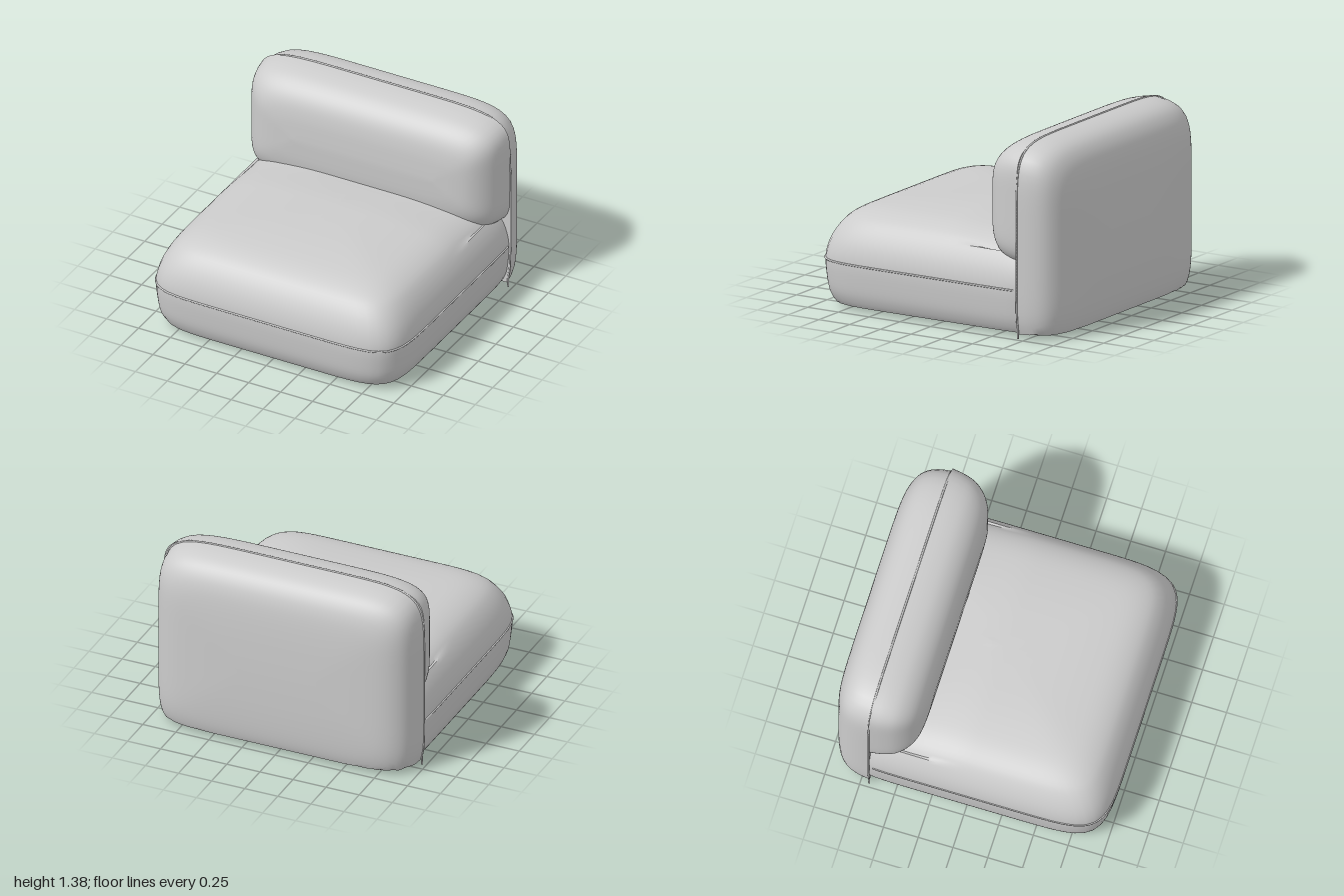
import * as THREE from 'three';
import { toCreasedNormals } from 'three/addons/utils/BufferGeometryUtils.js';

const SEGMENTS = 128;
const material = new THREE.MeshStandardMaterial({ color: 0xcccccc, roughness: 0.8 });

// Point on a softly bowed rectangle with half sizes a, b and squareness n
function outline(a, b, n, t) {
  const c = Math.cos(t), s = Math.sin(t);
  const r = Math.pow(Math.abs(c) ** n + Math.abs(s) ** n, -1 / n);
  return [a * r * c, b * r * s];
}

// Padded volume: outlines stacked along a [height, inset] profile.
// place(u, v, h) turns each outline point into a Vector3.
function padded({ a, b, n, profile, capStart, capEnd, place }) {
  const curve = new THREE.CatmullRomCurve3(
    profile.map(([h, d]) => new THREE.Vector3(h, d, 0)), false, 'centripetal');
  const rings = curve.getPoints(profile.length * 3).map(p => [p.x, p.y]);
  if (capStart) rings.unshift([rings[0][0], Math.min(a, b)]);
  if (capEnd) rings.push([rings[rings.length - 1][0], Math.min(a, b)]);

  const positions = [], index = [];
  rings.forEach(([h, d], i) => {
    for (let j = 0; j < SEGMENTS; j++) {
      const [u, v] = outline(Math.max(a - d, 0), Math.max(b - d, 0), n, j / SEGMENTS * Math.PI * 2);
      positions.push(...place(u, v, h).toArray());
      if (i === 0) continue;
      const k = (j + 1) % SEGMENTS, lo = (i - 1) * SEGMENTS, hi = i * SEGMENTS;
      index.push(lo + j, lo + k, hi + k, lo + j, hi + k, hi + j);
    }
  });
  const geometry = new THREE.BufferGeometry();
  geometry.setAttribute('position', new THREE.Float32BufferAttribute(positions, 3));
  geometry.setIndex(index);
  return toCreasedNormals(geometry, 0.7);
}

function piping(points) {
  return new THREE.TubeGeometry(new THREE.CatmullRomCurve3(points), 200, 0.007, 8);
}

export function createModel() {
  const group = new THREE.Group();
  const add = (name, geometry) => {
    const mesh = new THREE.Mesh(geometry, material);
    mesh.name = name;
    group.add(mesh);
  };
  const floor = 0.03, seamZ = -0.69, seamY = 0.34;

  // Seat: flat base, bulging sides and domed top, cut straight at the backrest
  const seat = { a: 0.985, b: 0.995, n: 8 };
  add('seatCushion', padded({
    ...seat,
    profile: [[floor, 0.06], [0.06, 0.042], [0.12, 0.02], [0.22, 0.006], [seamY, 0],
      [0.42, 0.012], [0.5, 0.04], [0.58, 0.087], [0.64, 0.145], [0.69, 0.25],
      [0.72, 0.42], [0.738, 0.65], [0.745, 0.985]],
    capStart: true,
    place: (x, v, y) => {
      const z = Math.max(-v, seamZ);
      const dip = y > 0.6 ? 0.025 * THREE.MathUtils.smoothstep(-z, 0, 0.45) : 0;
      return new THREE.Vector3(x, y - dip, z);
    },
  }));

  // Back shell: rear half of the backrest, reaching down to the base
  const shell = { a: 0.985, b: 0.75, n: 7 }, shellY = 0.62;
  add('backShell', padded({
    ...shell,
    profile: [[-1, 0.75], [-0.998, 0.6], [-0.992, 0.42], [-0.98, 0.27], [-0.965, 0.19],
      [-0.94, 0.125], [-0.9, 0.07], [-0.85, 0.035], [-0.78, 0.012], [seamZ, 0]],
    capEnd: true,
    place: (x, v, z) => new THREE.Vector3(x, Math.max(shellY + v, floor), z),
  }));

  // Back cushion: front half of the backrest, rounded under above the seat
  add('backCushion', padded({
    a: 0.985, b: 0.455, n: 6,
    profile: [[seamZ, 0], [-0.6, 0.012], [-0.52, 0.036], [-0.46, 0.075], [-0.415, 0.125],
      [-0.385, 0.185], [-0.367, 0.27], [-0.36, 0.36], [-0.356, 0.455]],
    capStart: true,
    place: (x, v, z) => new THREE.Vector3(x, 0.915 + v, z),
  }));

  // Piping along the seams of the seat and the backrest
  const seatSeam = [], backSeam = [];
  for (let j = 0; j <= SEGMENTS; j++) {
    const t = -Math.PI / 2 + j / SEGMENTS * Math.PI * 2;
    const [sx, sv] = outline(seat.a, seat.b, seat.n, t + Math.PI);
    if (sv < -seamZ) seatSeam.push(new THREE.Vector3(sx, seamY, -sv));
    const [bx, bv] = outline(shell.a, shell.b, shell.n, t);
    if (shellY + bv > floor) backSeam.push(new THREE.Vector3(bx, shellY + bv, seamZ));
  }
  const foot = p => new THREE.Vector3(p.x, 0, seamZ);
  backSeam.unshift(foot(backSeam[0]));
  backSeam.push(foot(backSeam[backSeam.length - 1]));
  add('seatPiping', piping(seatSeam));
  add('backPiping', piping(backSeam));
  return group;
}
